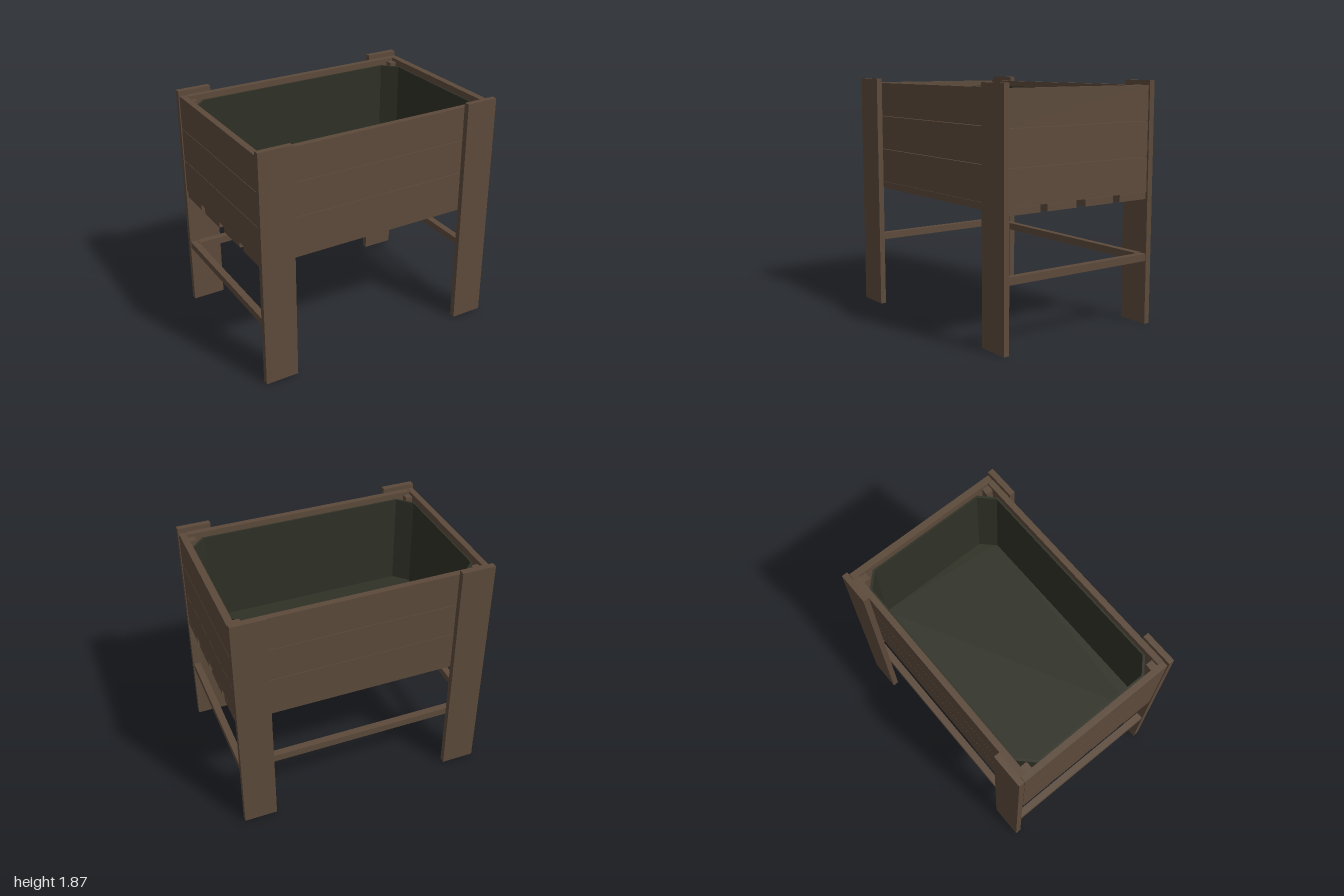
import * as THREE from 'three';

export function createModel() {
  const group = new THREE.Group();
  const wood = new THREE.MeshStandardMaterial({ color: 0x5c4a3b });
  wood.name = 'brown wood';
  const fabric = new THREE.MeshStandardMaterial({ color: 0x2f3126 });
  fabric.name = 'dark green fabric';

  // Box given by its lower and upper limits
  function board(name, [x0, x1], [y0, y1], [z0, z1]) {
    const mesh = new THREE.Mesh(new THREE.BoxGeometry(x1 - x0, y1 - y0, z1 - z0), wood);
    mesh.position.set((x0 + x1) / 2, (y0 + y1) / 2, (z0 + z1) / 2);
    mesh.name = name;
    group.add(mesh);
  }

  // Four wide, flat legs on the long sides
  for (const x of [[-1, -0.735], [0.73, 0.99]]) {
    board('frontLeg', x, [0, 1.87], [0.652, 0.697]);
    board('backLeg', x, [0, 1.87], [-0.702, -0.655]);
  }

  // Three rows of planks around the box
  for (let row = 0; row < 3; row++) {
    const y = [1.032 + row * 0.269, 1.297 + row * 0.269];
    board('frontPlank', [-0.945, 0.93], y, [0.603, 0.65]);
    board('backPlank', [-0.945, 0.93], y, [-0.65, -0.603]);
    board('leftPlank', [0.932, 0.985], y, [-0.647, 0.647]);
    board('rightPlank', [-0.995, -0.947], y, [-0.647, 0.647]);
  }

  // Slats carrying the floor
  for (const z of [0.38, 0.05, -0.303, -0.64]) {
    board('floorSlat', [-0.99, 0.985], [0.978, 1.03], [z, z + 0.268]);
  }

  // Square posts inside the corners
  for (const x of [[-0.945, -0.89], [0.875, 0.93]]) {
    for (const z of [[-0.602, -0.545], [0.545, 0.602]]) {
      board('cornerPost', x, [1.032, 1.81], z);
    }
  }

  // Stretchers: both ends and the back
  board('leftStretcher', [0.93, 0.985], [0.497, 0.553], [-0.655, 0.652]);
  board('rightStretcher', [-0.995, -0.94], [0.497, 0.553], [-0.655, 0.652]);
  board('backStretcher', [-0.94, 0.93], [0.5, 0.558], [-0.653, -0.597]);

  // Open liner with corners cut around the posts
  function outline(w, d, c, Type) {
    return new Type([
      [w - c, -d], [w, c - d], [w, d - c], [w - c, d],
      [c - w, d], [-w, d - c], [-w, c - d], [c - w, -d],
    ].map(([x, y]) => new THREE.Vector2(x, y)));
  }
  const wall = outline(0.932, 0.598, 0.11, THREE.Shape);
  wall.holes.push(outline(0.918, 0.584, 0.108, THREE.Path));
  const addLiner = (name, shape, depth, y) => {
    const geometry = new THREE.ExtrudeGeometry(shape, { depth, bevelEnabled: false });
    geometry.rotateX(-Math.PI / 2);
    const mesh = new THREE.Mesh(geometry, fabric);
    mesh.position.set(-0.007, y, 0);
    mesh.name = name;
    group.add(mesh);
  };
  addLiner('linerWall', wall, 0.745, 1.045);
  addLiner('linerFloor', outline(0.932, 0.598, 0.11, THREE.Shape), 0.012, 1.033);

  return group;
}
